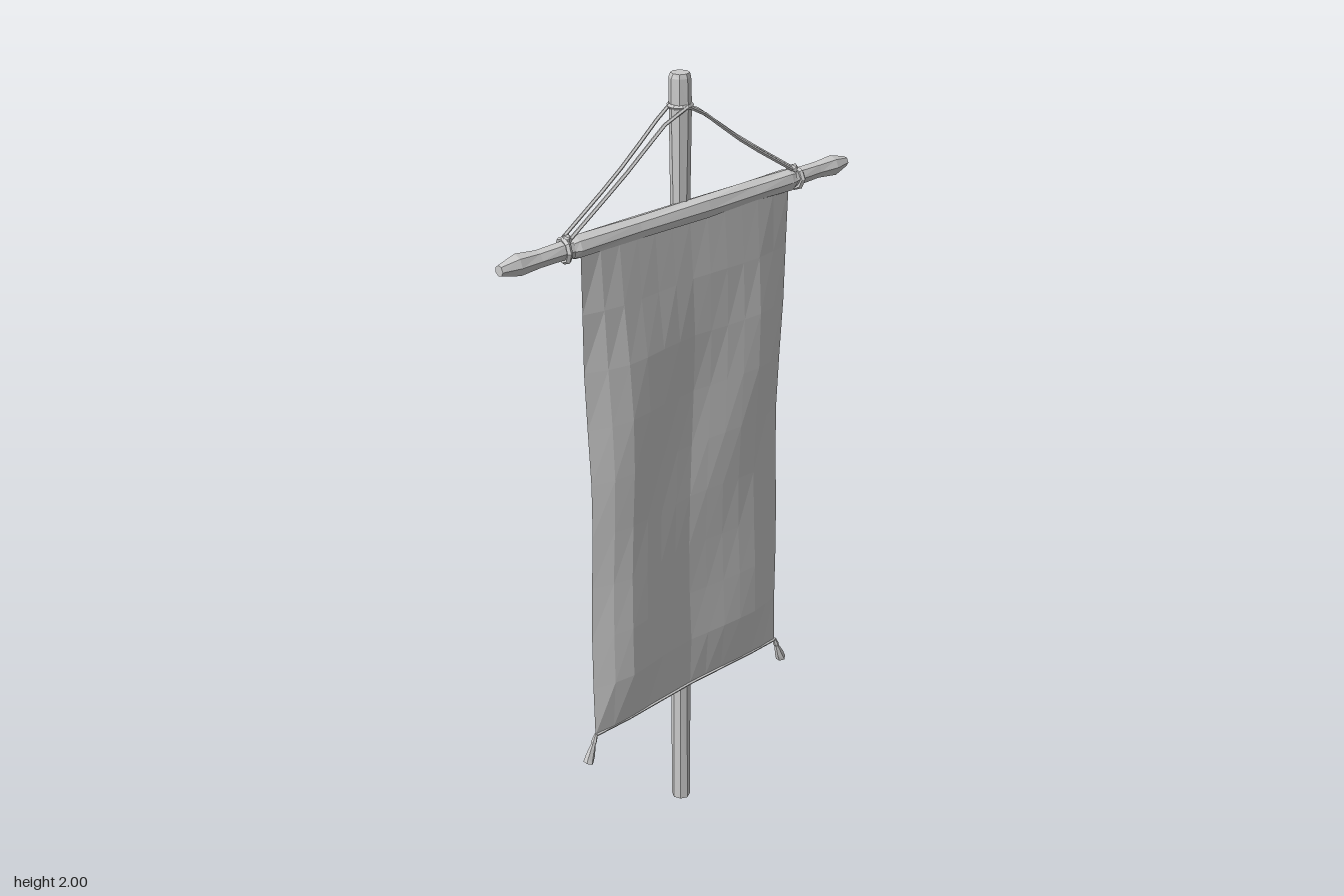
import * as THREE from 'three';

const material = new THREE.MeshStandardMaterial({ color: 0xcccccc, flatShading: true, side: THREE.DoubleSide });

function addMesh(parent, name, geometry) {
  const mesh = new THREE.Mesh(geometry, material);
  mesh.name = name;
  parent.add(mesh);
  return mesh;
}

// Closed lathe from [radius, height] pairs, with a slight hand-carved wobble
function carved(profile, sides, wobble = 0) {
  const geometry = new THREE.LatheGeometry(profile.map(([r, y]) => new THREE.Vector2(r, y)), sides);
  const p = geometry.attributes.position;
  for (let i = 0; i < p.count; i++) {
    const ring = i % profile.length, side = Math.floor(i / profile.length) % sides;
    const k = 1 + wobble * Math.sin(ring * 2.3 + side * 1.9);
    p.setX(i, p.getX(i) * k);
    p.setZ(i, p.getZ(i) * k);
  }
  geometry.computeVertexNormals();
  return geometry;
}

function rope(parent, name, points, radius) {
  const curve = new THREE.CatmullRomCurve3(points.map(p => new THREE.Vector3(...p)));
  return addMesh(parent, name, new THREE.TubeGeometry(curve, 6, radius, 5));
}

// Piecewise linear lookup in [position, value] pairs
function lookup(table, t) {
  for (let i = 1; i < table.length; i++) {
    const [a, va] = table[i - 1], [b, vb] = table[i];
    if (t <= b) return va + (vb - va) * (t - a) / (b - a);
  }
  return table[table.length - 1][1];
}

// Hanging cloth: two long vertical folds, pinched at the top and bottom
function clothGeometry() {
  const fold = [[-0.32, -0.008], [-0.27, 0.016], [-0.2, 0.031], [-0.1, 0.018], [0, 0.01],
    [0.1, 0.02], [0.2, 0.027], [0.27, 0.012], [0.32, -0.008]];
  const depth = [[0, 0.15], [0.08, 0.5], [0.2, 0.95], [0.9, 1], [1, 0.4]];
  const geometry = new THREE.PlaneGeometry(0.63, 1, 12, 9);
  const p = geometry.attributes.position;
  for (let i = 0; i < p.count; i++) {
    const u = p.getX(i), s = 0.5 - p.getY(i);
    const edge = Math.abs(u) / 0.315;
    const sway = 0.012 * Math.sin(s * 7 + u * 5) * s * (1 - s) * 4;
    const x = u * (1 - 0.025 * Math.sin(s * Math.PI)) + sway * (1 - edge * 0.6);
    const y = 1.67 - s * (1.28 + 0.012 * edge ** 4) + 0.012 * Math.sin(u * 19 + s * 12) * s * (1 - s);
    const ripple = 0.004 * Math.sin(s * 13 + u * 16) * (1 - s * s);
    p.setXYZ(i, x, y, 0.013 + lookup(depth, s) * (lookup(fold, u) + ripple));
  }
  return geometry;
}

export function createModel() {
  const group = new THREE.Group();
  const barY = 1.685, poleZ = -0.019;

  // Upright pole
  addMesh(group, 'pole', carved([[0, 0], [0.025, 0], [0.025, 0.4], [0.023, 0.85], [0.024, 1.3],
    [0.022, 1.7], [0.026, 1.93], [0.025, 1.99], [0.021, 2], [0, 2]], 8, 0.04)).position.z = poleZ;

  // Crossbar with whittled ends
  const bar = addMesh(group, 'crossbar', carved([[0, -0.52], [0.013, -0.52], [0.024, -0.475], [0.02, -0.42],
    [0.022, -0.34], [0.023, 0], [0.022, 0.34], [0.02, 0.42], [0.024, 0.475], [0.013, 0.52], [0, 0.52]], 7, 0.06));
  bar.rotation.z = -Math.PI / 2;
  bar.position.set(0, barY, -0.002);

  // Cloth sleeve rolled over the crossbar
  const sleeve = addMesh(group, 'clothSleeve', carved([[0.022, -0.335], [0.027, -0.32], [0.026, -0.15],
    [0.028, 0.05], [0.026, 0.2], [0.027, 0.32], [0.022, 0.335]], 8, 0.06));
  sleeve.rotation.z = -Math.PI / 2;
  sleeve.position.set(0, barY, 0);

  addMesh(group, 'cloth', clothGeometry());

  // Rope collar near the top of the pole
  const collar = addMesh(group, 'poleRopeCollar', new THREE.TorusGeometry(0.025, 0.006, 5, 9));
  collar.rotation.x = Math.PI / 2;
  collar.position.set(0, 1.928, poleZ);

  for (const side of [-1, 1]) {
    const label = side > 0 ? 'left' : 'right';

    // Rope strands and the loop that ties them to the bar
    rope(group, label + 'FrontRope', [[0, 1.93, 0.008], [side * 0.03, 1.918, 0], [side * 0.18, 1.808, -0.002],
      [side * 0.34, 1.705, 0.004]], 0.0045);
    rope(group, label + 'BackRope', [[0, 1.93, -0.045], [side * 0.03, 1.922, -0.034], [side * 0.18, 1.815, -0.02],
      [side * 0.345, 1.708, -0.012]], 0.0045);
    const loop = addMesh(group, label + 'BarLoop', new THREE.TorusGeometry(0.025, 0.007, 5, 8));
    loop.rotation.set(0, Math.PI / 2 + side * 0.15, 0);
    loop.position.set(side * 0.348, barY, -0.002);
    const knot = addMesh(group, label + 'Knot', new THREE.IcosahedronGeometry(0.013, 0));
    knot.position.set(side * 0.342, 1.708, 0);

    // Corner tassel, flared towards its tip
    const tassel = addMesh(group, label + 'Tassel', carved([[0, -0.085], [0.014, -0.08], [0.012, -0.06],
      [0.006, -0.03], [0.008, -0.02], [0.004, 0], [0, 0.002]], 6, 0.08));
    tassel.position.set(side * 0.314, 0.383, 0.012);
    tassel.rotation.z = side * 0.35;
  }

  // Thin bottom hem
  rope(group, 'bottomHem', [[-0.315, 0.379, 0.012], [-0.2, 0.389, 0.024], [0, 0.39, 0.018],
    [0.2, 0.389, 0.023], [0.315, 0.379, 0.012]], 0.004);

  return group;
}
